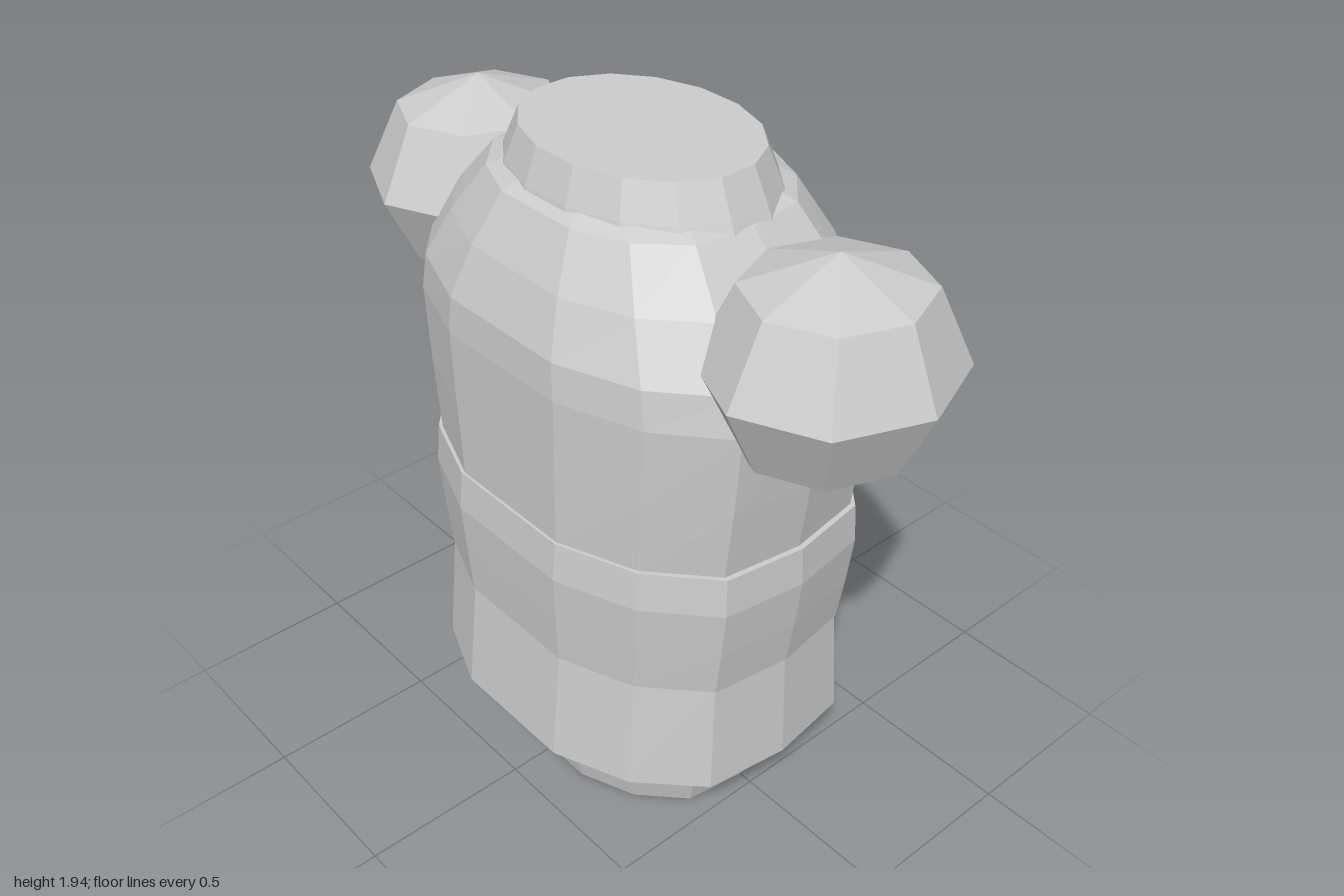
import * as THREE from 'three';

// One quarter of the torso outline, as fractions of half-width and half-depth
const quarter = [[1, 0], [0.945, 0.5], [0.68, 0.82], [0.32, 1], [0, 1]];
const outline = [
  ...quarter,
  ...quarter.slice(0, 4).reverse().map(([x, z]) => [-x, z]),
  ...quarter.slice(1).map(([x, z]) => [-x, -z]),
  ...quarter.slice(1, 4).reverse().map(([x, z]) => [x, -z]),
];
const round = Array.from({ length: 16 }, (_, i) => {
  const a = ((i + 0.5) / 16) * Math.PI * 2;
  return [Math.cos(a) * 1.015, Math.sin(a) * 1.015];
});

// Closed solid through rings of [y, half-width, half-depth], bottom to top
function loft(section, rings) {
  const n = section.length;
  const pos = [];
  const idx = [];
  for (const [y, rx, rz] of rings) for (const [x, z] of section) pos.push(x * rx, y, z * rz);
  for (let r = 0; r < rings.length - 1; r++) {
    for (let i = 0; i < n; i++) {
      const a = r * n + i;
      const b = r * n + ((i + 1) % n);
      idx.push(a, a + n, b, b, a + n, b + n);
    }
  }
  const top = (rings.length - 1) * n;
  for (let i = 1; i < n - 1; i++) {
    idx.push(0, i, i + 1);
    idx.push(top, top + i + 1, top + i);
  }
  const g = new THREE.BufferGeometry();
  g.setAttribute('position', new THREE.Float32BufferAttribute(pos, 3));
  g.setIndex(idx);
  const flat = g.toNonIndexed();
  flat.computeVertexNormals();
  return flat;
}

export function createModel() {
  const group = new THREE.Group();
  const material = new THREE.MeshStandardMaterial({ color: 0xcccccc, flatShading: true });
  const add = (name, geometry) => {
    const mesh = new THREE.Mesh(geometry, material);
    mesh.name = name;
    group.add(mesh);
    return mesh;
  };

  // Stacked body sections
  add('pelvis', loft(outline, [[0, 0.457, 0.36], [0.13, 0.49, 0.387], [0.26, 0.508, 0.395]]));
  add('lowerBand', loft(outline, [[0.23, 0.62, 0.5], [0.58, 0.603, 0.463]]));
  add('waistBand', loft(outline, [
    [0.575, 0.607, 0.466], [0.72, 0.628, 0.474], [0.87, 0.645, 0.482], [0.985, 0.638, 0.47],
  ]));
  add('chest', loft(outline, [
    [0.98, 0.622, 0.462], [1.2, 0.648, 0.465], [1.43, 0.668, 0.466], [1.535, 0.64, 0.46],
    [1.68, 0.535, 0.408], [1.82, 0.41, 0.335], [1.845, 0.35, 0.285],
  ]));
  add('collar', loft(round, [[1.79, 0.42, 0.32], [1.845, 0.395, 0.305], [1.94, 0.35, 0.27]]));

  // Faceted shoulder balls
  for (const [name, side] of [['leftShoulder', 1], ['rightShoulder', -1]]) {
    const ball = add(name, new THREE.SphereGeometry(1, 8, 4).scale(0.32, 0.29, 0.34));
    ball.position.set(side * 0.68, 1.575, 0);
  }
  return group;
}
